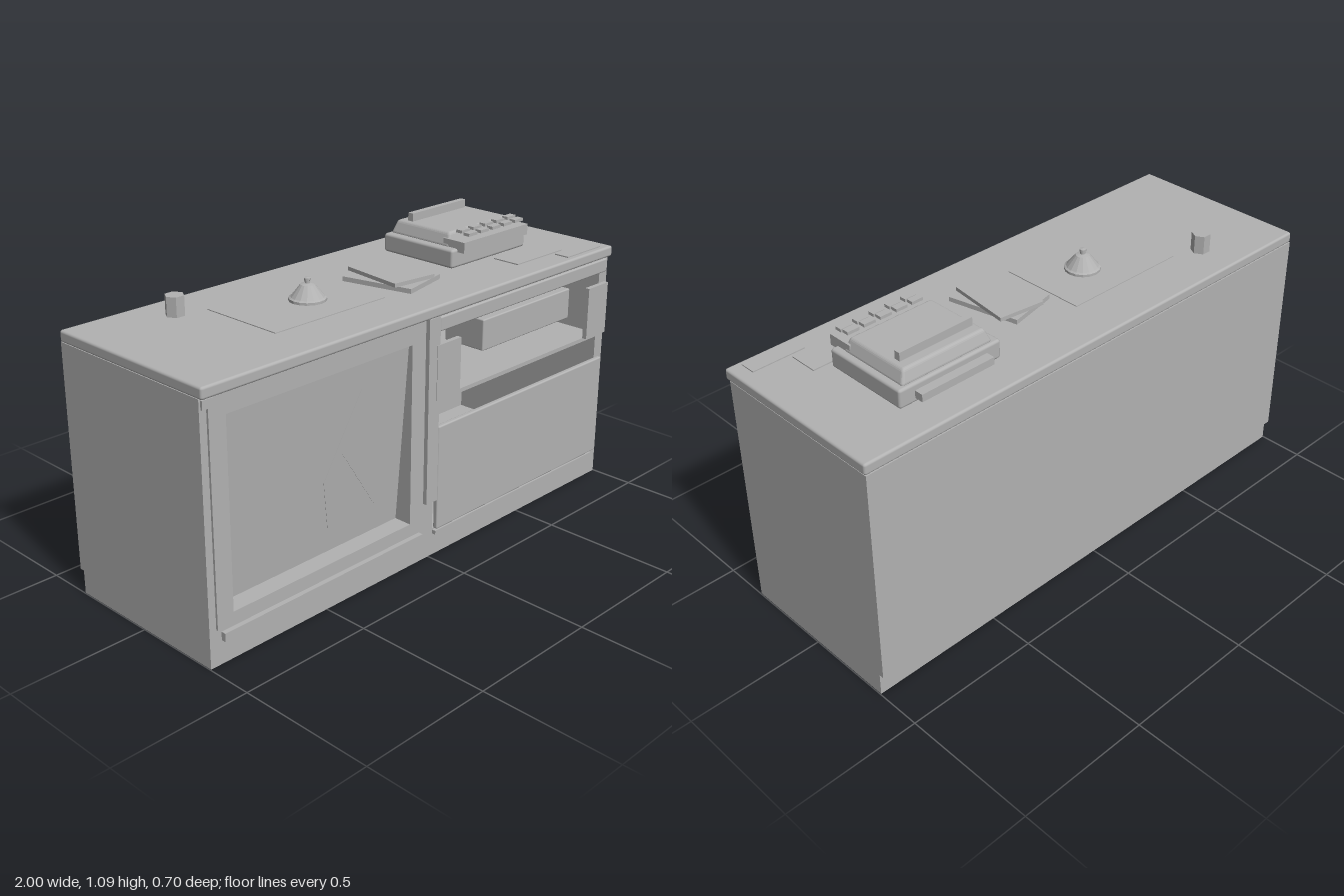
import * as THREE from 'three';
import { RoundedBoxGeometry } from 'three/addons/geometries/RoundedBoxGeometry.js';

export function createModel() {
  const root = new THREE.Group();
  root.name = 'serviceCounter';
  const grey = new THREE.MeshStandardMaterial({ color: 0xb2b2b2 });
  grey.name = 'plainGrey';

  const add = (name, geo, parent = root) => {
    const m = new THREE.Mesh(geo, grey);
    m.name = name;
    parent.add(m);
    return m;
  };
  // Box given by its limits; a bevel above zero chamfers the edges
  const box = (name, x0, x1, y0, y1, z0, z1, bevel = 0, parent = root) => {
    const s = [x1 - x0, y1 - y0, z1 - z0];
    const geo = bevel ? new RoundedBoxGeometry(...s, 2, bevel) : new THREE.BoxGeometry(...s);
    const m = add(name, geo, parent);
    m.position.set((x0 + x1) / 2, (y0 + y1) / 2, (z0 + z1) / 2);
    return m;
  };

  // Carcass: plinth, solid left bay, hollow right bay
  box('plinth', -0.997, 0.997, 0, 0.085, -0.33, 0.33);
  box('leftBay', -0.997, -0.03, 0.085, 0.9, -0.348, 0.24);
  box('divider', -0.03, 0.02, 0.085, 0.9, -0.348, 0.33);
  box('rightWall', 0.95, 0.997, 0.085, 0.9, -0.348, 0.33);
  box('backPanel', 0.02, 0.95, 0.085, 0.9, -0.348, -0.33);
  box('bayFloor', 0.02, 0.95, 0.085, 0.105, -0.33, 0.33);
  box('bayCeiling', 0.02, 0.95, 0.885, 0.9, -0.33, 0.33);
  box('bayShelf', 0.02, 0.95, 0.585, 0.6, -0.33, 0.33);
  box('countertop', -1, 1, 0.9, 0.941, -0.348, 0.348, 0.009);

  // Left frame with its recessed panel opening
  const frame = new THREE.Shape();
  frame.moveTo(-0.997, 0.085).lineTo(-0.03, 0.085).lineTo(-0.03, 0.9).lineTo(-0.997, 0.9);
  const hole = new THREE.Path();
  hole.moveTo(-0.905, 0.17).lineTo(-0.905, 0.83).lineTo(-0.105, 0.83).lineTo(-0.105, 0.17);
  frame.holes.push(hole);
  add('leftFrame', new THREE.ExtrudeGeometry(frame, { depth: 0.09, bevelEnabled: false })).position.z = 0.24;
  box('leftSill', -0.95, -0.05, 0.085, 0.115, 0.33, 0.348);
  box('lowerRail', -0.97, -0.1, 0.13, 0.17, 0.33, 0.338);
  box('upperRail', -0.97, -0.1, 0.83, 0.9, 0.33, 0.338);
  box('leftStile', -0.97, -0.905, 0.17, 0.83, 0.33, 0.338);
  box('rightStile', -0.105, -0.05, 0.13, 0.9, 0.33, 0.338);
  box('topLip', -0.997, -0.95, 0.87, 0.9, 0.338, 0.346);

  // Leaning panel and its fine cracks
  const door = new THREE.Group();
  door.name = 'leaningPanel';
  door.position.set(-0.505, 0.5, 0.288);
  door.rotation.x = 0.08;
  root.add(door);
  box('panel', -0.4, 0.4, -0.33, 0.33, -0.008, 0.008, 0, door);
  const cracks = [[-0.32, 0.73, -0.47, 0.44], [-0.47, 0.44, -0.44, 0.25], [-0.39, 0.52, -0.22, 0.27]];
  for (const [x0, y0, x1, y1] of cracks) {
    const c = add('crack', new THREE.BoxGeometry(Math.hypot(x1 - x0, y1 - y0), 0.003, 0.002), door);
    c.position.set((x0 + x1) / 2 + 0.505, (y0 + y1) / 2 - 0.5, 0.008);
    c.rotation.z = Math.atan2(y1 - y0, x1 - x0);
  }

  // Right bay front
  box('dividerStrip', -0.03, 0.025, 0.22, 0.9, 0.33, 0.346);
  box('topRail', 0.025, 0.975, 0.845, 0.897, 0.325, 0.346, 0.006);
  box('lowerFront', 0.025, 0.975, 0.105, 0.5, 0.328, 0.348, 0.006);
  box('rightSill', 0.02, 0.95, 0.085, 0.1, 0.33, 0.346);
  box('leftBracket', 0.01, 0.13, 0.6, 0.8, 0.33, 0.348);
  box('rightBracket', 0.865, 0.985, 0.6, 0.8, 0.33, 0.348);
  box('hangingDrawer', 0.25, 0.745, 0.715, 0.83, 0.17, 0.345, 0.005);

  // Cash register
  const till = new THREE.Group();
  till.name = 'cashRegister';
  root.add(till);
  box('registerBase', 0.34, 0.755, 0.943, 1.012, -0.215, 0.118, 0.01, till);
  const upper = box('registerBody', 0.365, 0.735, 1.008, 1.06, -0.205, 0.08, 0.01, till);
  const p = upper.geometry.attributes.position;
  for (let i = 0; i < p.count; i++) {
    // Taper the body towards its top
    const k = 1 - 0.11 * (p.getY(i) / 0.052 + 0.5);
    p.setX(i, p.getX(i) * k);
    p.setZ(i, p.getZ(i) * k);
  }
  upper.geometry.computeVertexNormals();
  box('keyDeck', 0.37, 0.73, 1.0, 1.04, 0.05, 0.148, 0, till);
  for (let r = 0; r < 2; r++)
    for (let c = 0; c < 5; c++) {
      const x = 0.43 + c * 0.065, z = 0.09 + r * 0.035, y = 1.058 - r * 0.005;
      box('key', x - 0.023, x + 0.023, y, y + 0.011, z - 0.013, z + 0.013, 0, till);
    }
  box('displayBar', 0.4, 0.695, 1.058, 1.09, -0.15, -0.127, 0, till);
  box('rearBar', 0.4, 0.695, 0.96, 0.987, -0.248, -0.21, 0, till);

  // Desk mat, loose slips and two stacked pads
  box('deskMat', -0.55, -0.055, 0.94, 0.944, -0.165, 0.165);
  box('largeSlip', 0.55, 0.81, 0.94, 0.945, 0.14, 0.25);
  box('smallSlip', 0.75, 0.95, 0.94, 0.945, 0.265, 0.325);
  box('lowerPad', 0, 0.2, 0.943, 0.96, -0.09, 0.185).rotation.y = 0.22;
  box('upperPad', 0.02, 0.198, 0.96, 0.974, -0.09, 0.165).rotation.y = -0.12;

  // Counter bell
  const bell = [[0, 0], [0.065, 0], [0.065, 0.01], [0.058, 0.014], [0.025, 0.056], [0.009, 0.06],
    [0.009, 0.068], [0.012, 0.07], [0.012, 0.078], [0, 0.08]].map(([x, y]) => new THREE.Vector2(x, y));
  const lathe = new THREE.LatheGeometry(bell, 16).toNonIndexed();
  lathe.computeVertexNormals();
  add('bell', lathe).position.set(-0.255, 0.943, 0);

  // Six-sided pot
  const pot = new THREE.CylinderGeometry(0.034, 0.034, 0.07, 6).toNonIndexed();
  pot.computeVertexNormals();
  const potMesh = add('penPot', pot);
  potMesh.position.set(-0.655, 0.975, -0.2);
  potMesh.rotation.y = Math.PI / 6;
  return root;
}
